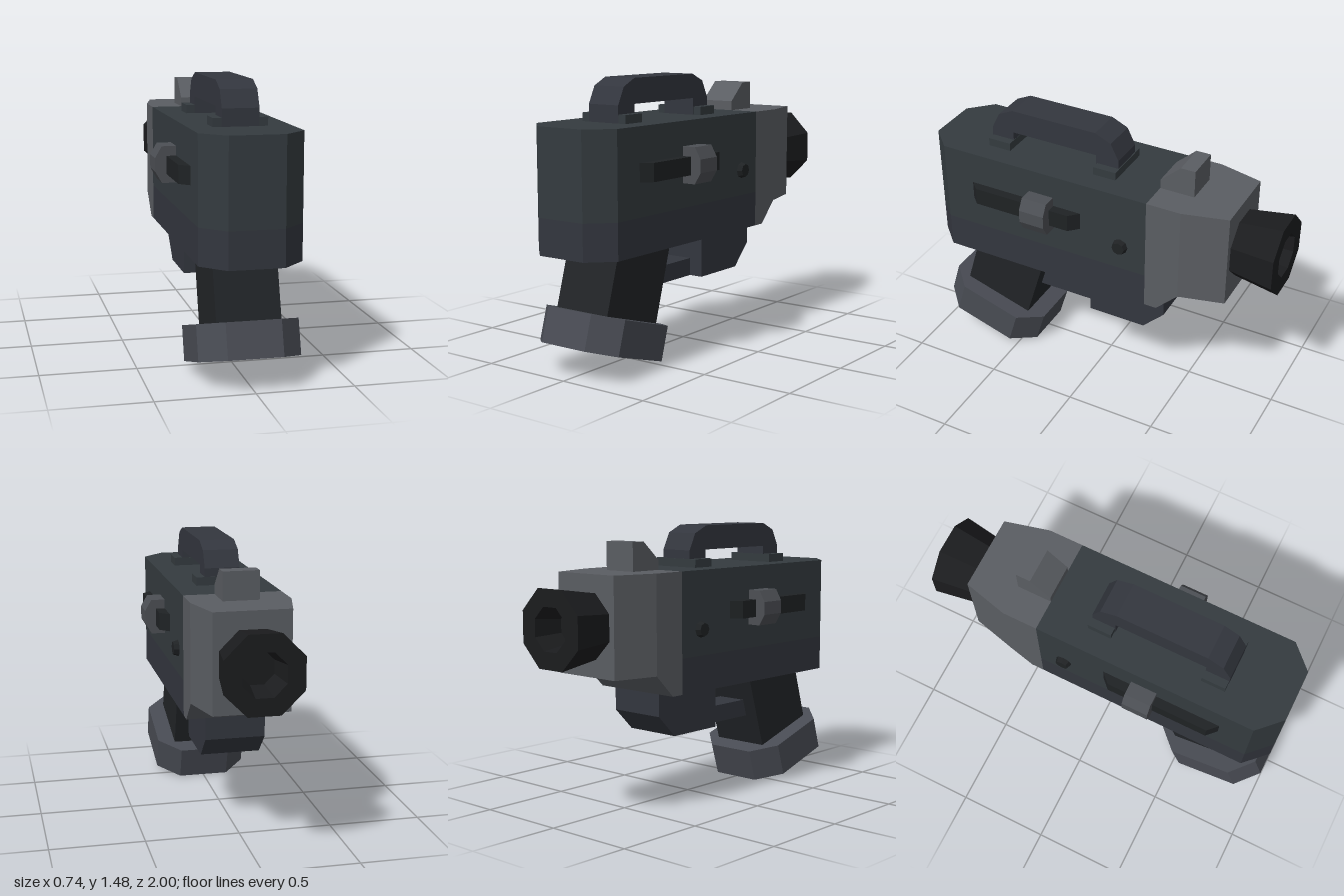
import * as THREE from 'three';

const mat = (color) => new THREE.MeshStandardMaterial({ color, flatShading: true });
const C = {
  body: mat(0x343b3f), lower: mat(0x33363e), nose: mat(0x5a5d62), grip: mat(0x212427),
  base: mat(0x484b53), muzzle: mat(0x1b1c1e), rail: mat(0x1f2224), knob: mat(0x4c4f54),
};

const shapeOf = (pts) => new THREE.Shape(pts.map(([a, b]) => new THREE.Vector2(a, b)));

// Side profile of [z, y] points, extruded symmetrically across x
function sideSlab(pts, half) {
  const g = new THREE.ExtrudeGeometry(shapeOf(pts.map(([z, y]) => [-z, y])), { depth: half * 2, bevelEnabled: false });
  return g.translate(0, 0, -half).rotateY(Math.PI / 2);
}

// Plan outline of [x, z] points, extruded from y0 to y1
function planSlab(pts, y0, y1) {
  const g = new THREE.ExtrudeGeometry(shapeOf(pts.map(([x, z]) => [x, -z])), { depth: y1 - y0, bevelEnabled: false });
  return g.rotateX(-Math.PI / 2).translate(0, y0, 0);
}

// Closed loft through rectangles [z, halfWidth, bottom, top], with z falling
function rectLoft(sections) {
  const pos = [], idx = [];
  for (const [z, w, b, t] of sections) pos.push(-w, b, z, w, b, z, w, t, z, -w, t, z);
  const n = sections.length;
  for (let i = 0; i < n - 1; i++) {
    for (let k = 0; k < 4; k++) {
      const a = i * 4 + k, b = i * 4 + (k + 1) % 4;
      idx.push(a, a + 4, b, b, a + 4, b + 4);
    }
  }
  const e = (n - 1) * 4;
  idx.push(0, 1, 2, 0, 2, 3, e, e + 2, e + 1, e, e + 3, e + 2);
  const g = new THREE.BufferGeometry();
  g.setAttribute('position', new THREE.Float32BufferAttribute(pos, 3));
  g.setIndex(idx);
  g.computeVertexNormals();
  return g;
}

export function createModel() {
  const model = new THREE.Group();
  const add = (name, geo, material, parent = model) => {
    const m = new THREE.Mesh(geo, material);
    m.name = name;
    parent.add(m);
    return m;
  };

  // Main housing with chamfered front corners, in two colour bands
  const plan = [[-0.26, -0.33], [0.26, -0.33], [0.26, 0.88], [0.14, 1], [-0.14, 1], [-0.26, 0.88]].reverse();
  add('upperBody', planSlab(plan, 0.81, 1.26), C.body);
  add('lowerBody', planSlab(plan, 0.62, 0.81), C.lower);

  // Tapered rear shroud
  add('shroud', rectLoft([
    [-0.33, 0.26, 0.62, 1.26], [-0.40, 0.26, 0.62, 1.26],
    [-0.52, 0.26, 0.74, 1.26], [-0.76, 0.20, 0.74, 1.26],
  ]), C.nose);

  // Hollow eight-sided flared muzzle
  const k = 1 / Math.cos(Math.PI / 8);
  const profile = [[0, 0], [0.165, 0], [0.2, 0.25], [0.11, 0.25], [0.085, 0.1], [0, 0.1]]
    .map(([r, y]) => new THREE.Vector2(r * k, y));
  const muzzle = add('muzzle', new THREE.LatheGeometry(profile, 8, Math.PI / 8), C.muzzle);
  muzzle.rotation.x = -Math.PI / 2;
  muzzle.position.set(0, 1, -0.75);

  // Raked grip with an eight-cornered base
  const grip = new THREE.Group();
  grip.name = 'gripAssembly';
  grip.position.set(0, 0.18, 0.685);
  grip.rotation.x = -0.295;
  model.add(grip);
  add('grip', new THREE.BoxGeometry(0.33, 0.58, 0.41).translate(0, 0.29, 0), C.grip, grip);
  const foot = [[0.14, 0.3], [0.26, 0.18], [0.26, -0.18], [0.14, -0.3], [-0.14, -0.3], [-0.26, -0.18], [-0.26, 0.18], [-0.14, 0.3]];
  add('gripBase', planSlab(foot, -0.092, 0.092), C.base, grip);

  // Underside block and the guard bar joining it to the grip
  add('underBlock', sideSlab([[0.05, 0.63], [0.05, 0.38], [-0.28, 0.38], [-0.4, 0.5], [-0.4, 0.63]], 0.16), C.lower);
  add('guardBar', new THREE.BoxGeometry(0.17, 0.095, 0.42).translate(0, 0.428, 0.24), C.lower);

  // Carrying handle on two feet
  add('handle', sideSlab([
    [0.67, 1.25], [0.67, 1.35], [0.625, 1.44], [0.54, 1.48], [0.045, 1.48], [-0.045, 1.44], [-0.09, 1.35],
    [-0.09, 1.25], [0.04, 1.25], [0.04, 1.35], [0.54, 1.35], [0.54, 1.25],
  ], 0.095), C.lower);
  for (const z of [0.603, -0.03]) {
    add('handleFoot', new THREE.BoxGeometry(0.28, 0.055, 0.13).translate(0, 1.277, z), C.body);
  }

  // Sloped sight
  add('sight', sideSlab([[-0.33, 1.25], [-0.33, 1.31], [-0.44, 1.41], [-0.52, 1.41], [-0.52, 1.25]], 0.095), C.nose);

  // Rail, slider and button on both sides
  const knobShape = shapeOf([[0.25, 0.94], [0.335, 0.94], [0.37, 1.0], [0.37, 1.07], [0.335, 1.13], [0.25, 1.13]]);
  for (const s of [1, -1]) {
    const side = new THREE.Group();
    side.name = s > 0 ? 'leftControls' : 'rightControls';
    side.rotation.y = s > 0 ? 0 : Math.PI;
    model.add(side);
    // The half turn flips z, so z is given with the side's sign
    const railPlan = [[0.25, 0.04], [0.26, 0.05], [0.31, 0.1], [0.31, 0.66], [0.26, 0.71], [0.25, 0.71]]
      .map(([x, z]) => [x, s * z]);
    add('rail', planSlab(railPlan, 0.985, 1.08), C.rail, side);
    const knob = new THREE.ExtrudeGeometry(knobShape, { depth: 0.145, bevelEnabled: false });
    add('slider', knob.translate(0, 0, s > 0 ? 0.21 : -0.355), C.knob, side);
    const button = new THREE.CylinderGeometry(0.035, 0.048, 0.04, 8).rotateZ(-Math.PI / 2);
    add('button', button.translate(0.268, 0.95, -0.185 * s), C.rail, side);
  }
  return model;
}
